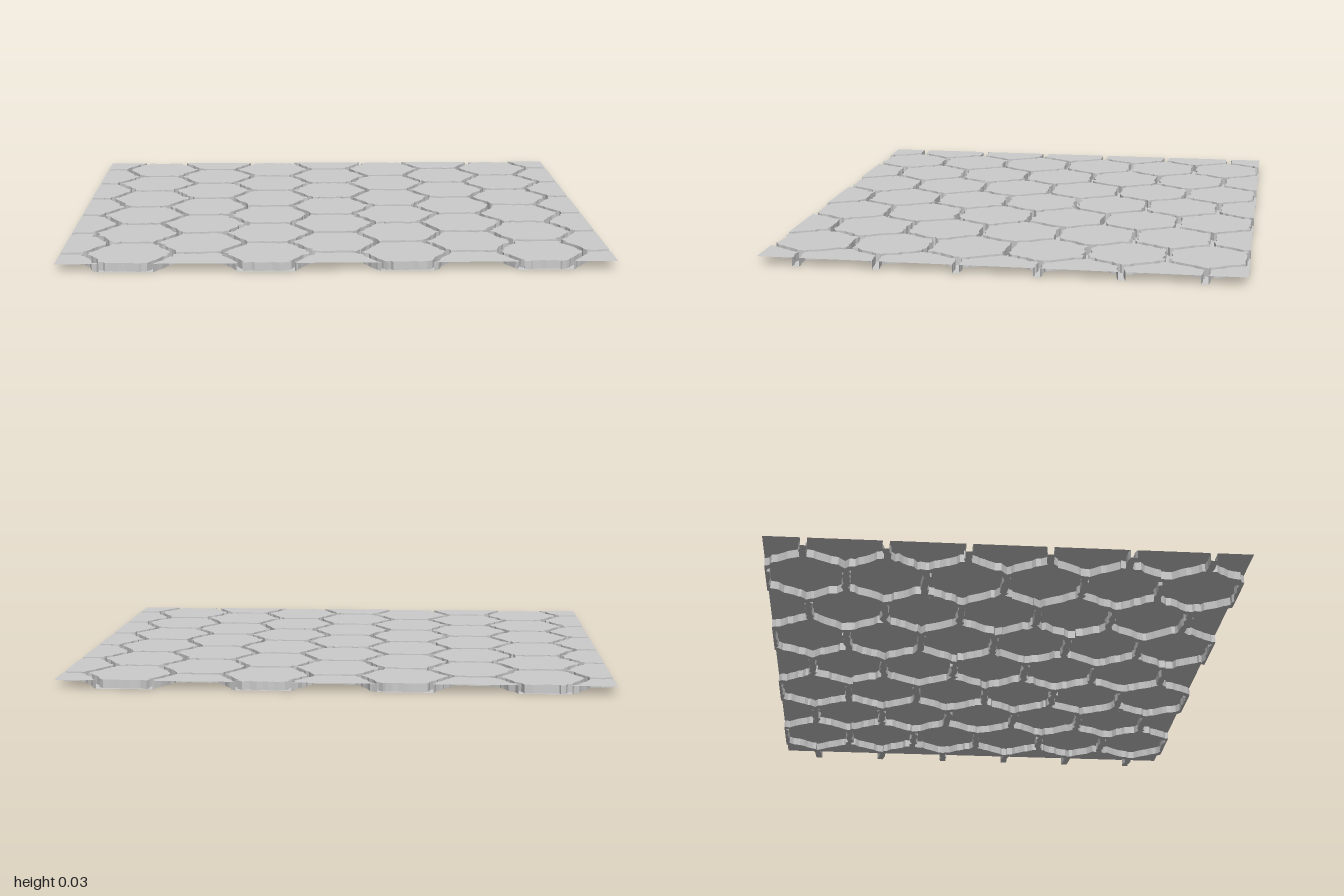
import * as THREE from 'three';

const R = 0.5 / 3;                 // hexagon corner radius
const ROW = R * Math.sqrt(3);      // row pitch
const LX = 1, LZ = ROW * 3;        // half size of the panel
const TOP = 0.031;                 // plate height above the groove floor
const INSET = 1 - 0.0125 / (ROW / 2);
const STEPS = [0, 0.12, 0.2, 0.36, 0.5, 0.64, 0.8, 0.88];

// Repeatable noise: the same position always gives the same value in -1..1
function noise(x, z, seed) {
  const s = Math.sin(Math.round(x * 1000) * 12.9898 + Math.round(z * 1000) * 78.233 + seed) * 43758.5453;
  return (s - Math.floor(s)) * 2 - 1;
}

const clamp = THREE.MathUtils.clamp;

// Chipped outline of one hexagon: groove centre line (outer) and plate rim (inner)
function outline(cx, cz) {
  const pts = [];
  const corner = (k) => [Math.cos(k * Math.PI / 3) * R, Math.sin(k * Math.PI / 3) * R];
  for (let k = 0; k < 6; k++) {
    const [ax, az] = corner(k), [bx, bz] = corner(k + 1);
    for (const t of STEPS) {
      const x = ax + (bx - ax) * t, z = az + (bz - az) * t;
      const px = cx + x, pz = cz + z;
      const amp = Math.abs(t - 0.5) < 0.2 ? 0.004 : 0.008;
      const dx = noise(px, pz, 1) * amp, dz = noise(px, pz, 2) * amp;
      const place = (s) => {
        const qx = cx + x * s, qz = cz + z * s;
        return [
          Math.abs(qx) > LX - 1e-4 ? clamp(qx, -LX, LX) : clamp(qx + dx, -LX, LX),
          Math.abs(qz) > LZ - 1e-4 ? clamp(qz, -LZ, LZ) : clamp(qz + dz, -LZ, LZ),
        ];
      };
      pts.push({ px, pz, outer: place(1), inner: place(INSET) });
    }
  }
  return pts;
}

function makeMesh(name, positions, material) {
  const geo = new THREE.BufferGeometry();
  geo.setAttribute('position', new THREE.Float32BufferAttribute(positions, 3));
  geo.computeVertexNormals();
  const mesh = new THREE.Mesh(geo, material);
  mesh.name = name;
  return mesh;
}

export function createModel() {
  const group = new THREE.Group();
  group.name = 'hexagonPanel';
  const material = new THREE.MeshStandardMaterial({
    color: 0xcccccc, flatShading: true, side: THREE.DoubleSide,
  });
  const plates = [], walls = [], floor = [];
  const at = (p, y) => [p[0], y, p[1]];
  const tri = (list, a, b, c) => list.push(...a, ...b, ...c);

  // Staggered columns of hexagons, cut off at the panel edges
  for (let col = -4; col <= 4; col++) {
    const cx = col * 0.25;
    const odd = Math.abs(col) % 2;
    for (let row = -3; row <= 3 - odd; row++) {
      const cz = (row + odd * 0.5) * ROW;
      const pts = outline(cx, cz);
      pts.forEach((p, i) => {
        const q = pts[(i + 1) % pts.length];
        const mx = (p.px + q.px) / 2, mz = (p.pz + q.pz) / 2;
        if (Math.abs(mx) > LX + 1e-4 || Math.abs(mz) > LZ + 1e-4) return;
        const b0 = at(p.inner, 0), b1 = at(q.inner, 0);
        const t0 = at(p.inner, TOP), t1 = at(q.inner, TOP);
        const o0 = at(p.outer, 0), o1 = at(q.outer, 0);
        // Plate top
        tri(plates, [cx, TOP, cz], t1, t0);
        // Groove wall
        tri(walls, b0, t0, t1);
        tri(walls, b0, t1, b1);
        // Half of the groove floor
        tri(floor, b0, b1, o1);
        tri(floor, b0, o1, o0);
      });
    }
  }

  group.add(
    makeMesh('hexagonPlates', plates, material),
    makeMesh('grooveWalls', walls, material),
    makeMesh('grooveFloor', floor, material),
  );
  return group;
}
